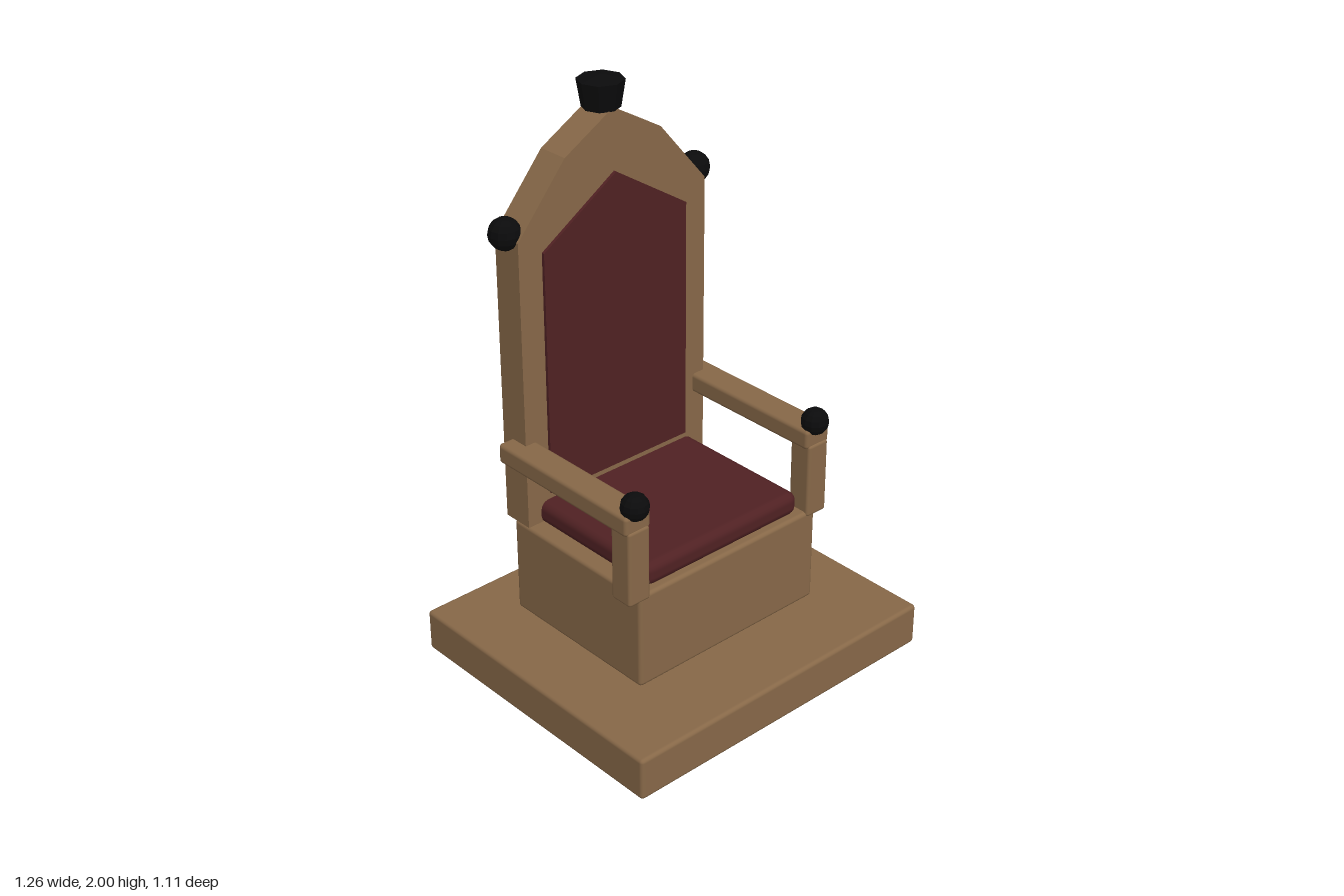
import * as THREE from 'three';
import { RoundedBoxGeometry } from 'three/addons/geometries/RoundedBoxGeometry.js';

export function createModel() {
  const model = new THREE.Group();
  model.name = 'throne';

  const mat = (name, color, flatShading = false) => {
    const m = new THREE.MeshStandardMaterial({ color, flatShading });
    m.name = name;
    return m;
  };
  const wood = mat('wood', 0x876848);
  const velvet = mat('velvet', 0x502123);
  const iron = mat('blackIron', 0x0b0b0c, true);

  const add = (name, geometry, material, x = 0, y = 0, z = 0) => {
    const mesh = new THREE.Mesh(geometry, material);
    mesh.name = name;
    mesh.position.set(x, y, z);
    model.add(mesh);
    return mesh;
  };

  // Softly bevelled box given by its minimum and maximum corners
  const block = (name, material, [x0, y0, z0], [x1, y1, z1], bevel) =>
    add(name, new RoundedBoxGeometry(x1 - x0, y1 - y0, z1 - z0, 2, bevel), material,
      (x0 + x1) / 2, (y0 + y1) / 2, (z0 + z1) / 2);

  // Flat outline extruded from z0 to z1
  const slab = (name, material, points, z0, z1) => {
    const shape = new THREE.Shape(points.map(([x, y]) => new THREE.Vector2(x, y)));
    const geometry = new THREE.ExtrudeGeometry(shape, { depth: z1 - z0, bevelEnabled: false });
    return add(name, geometry, material, 0, 0, z0);
  };

  // Plinth, seat and cushion
  block('plinth', wood, [-0.632, 0.005, -0.553], [0.632, 0.16, 0.553], 0.014);
  block('seatBase', wood, [-0.395, 0.172, -0.352], [0.395, 0.523, 0.28], 0.014);
  block('seatCushion', velvet, [-0.34, 0.515, -0.33], [0.34, 0.6, 0.256], 0.032);

  // Pointed backrest with its upholstered panel
  slab('backrest', wood, [
    [-0.395, 0.523], [0.395, 0.523], [0.395, 1.56], [0.2, 1.79],
    [0, 1.905], [-0.2, 1.79], [-0.395, 1.56],
  ], -0.39, -0.275);
  slab('backPanel', velvet, [
    [-0.302, 0.625], [0.302, 0.625], [0.302, 1.5], [0, 1.693], [-0.302, 1.5],
  ], -0.28, -0.264);

  // Arms and knobs on both sides
  for (const side of [-1, 1]) {
    const label = side > 0 ? 'left' : 'right';
    const post = block(label + 'ArmPost', wood, [0.353, 0.505, 0.197], [0.442, 0.78, 0.285], 0.011);
    const rest = block(label + 'Armrest', wood, [0.345, 0.765, -0.352], [0.45, 0.837, 0.28], 0.014);
    post.position.x *= side;
    rest.position.x *= side;
    add(label + 'ArmKnob', new THREE.SphereGeometry(0.048, 12, 8), iron, side * 0.397, 0.855, 0.263);
    add(label + 'BackKnob', new THREE.SphereGeometry(0.055, 12, 8), iron, side * 0.4, 1.577, -0.333);
  }

  // Octagonal finial at the peak
  const profile = [[0, 1.893], [0.064, 1.893], [0.079, 1.985], [0, 2]];
  add('finial', new THREE.LatheGeometry(profile.map(([r, y]) => new THREE.Vector2(r, y)), 8),
    iron, 0, 0, -0.333);

  return model;
}
